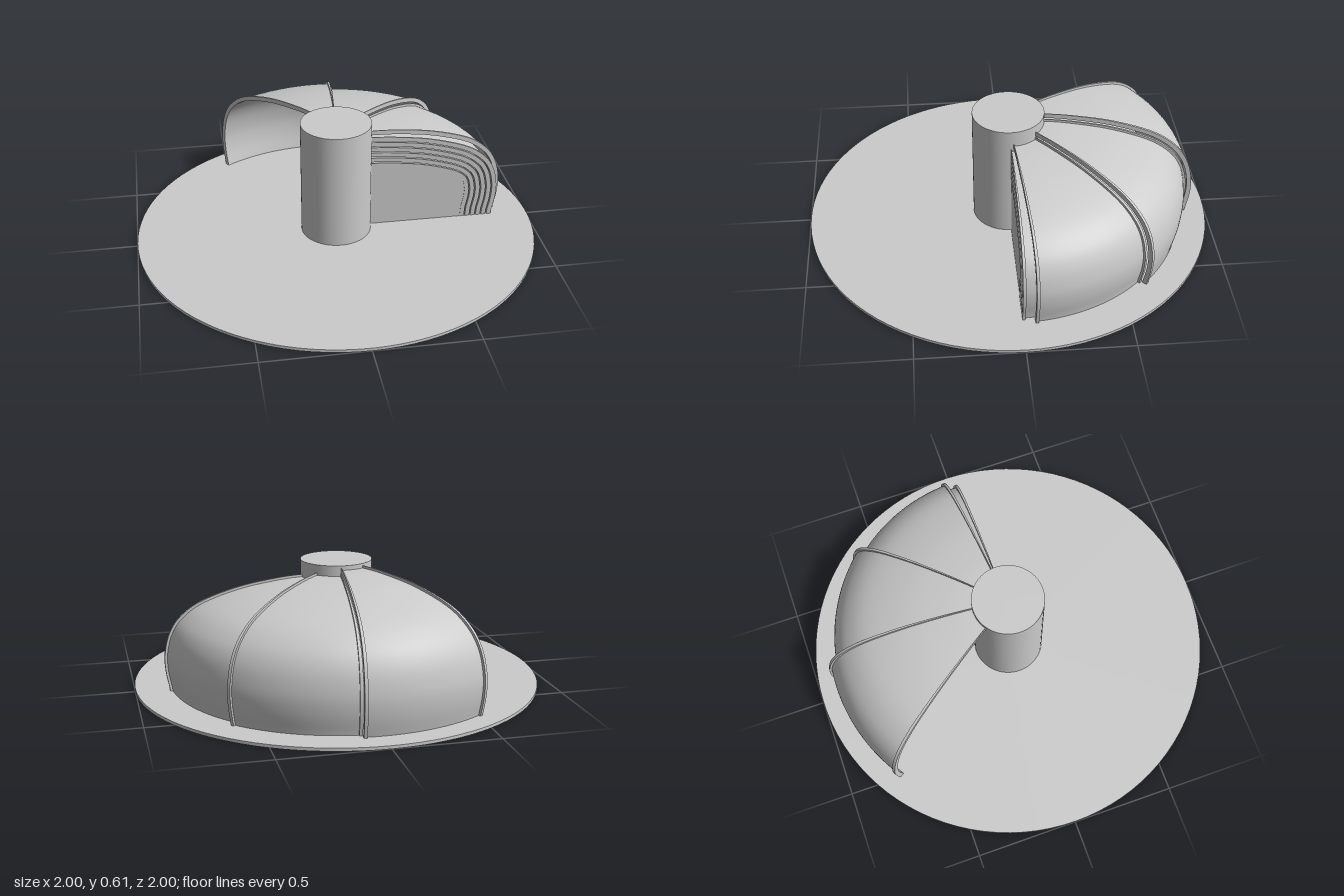
import * as THREE from 'three';
import { toCreasedNormals } from 'three/addons/utils/BufferGeometryUtils.js';

const BASE_TOP = 0.015, STEP = 0.029, THICK = 0.011, LIP = 0.012;
const rad = THREE.MathUtils.degToRad;

// Cross-section of the largest shell: radius, height
const section = new THREE.SplineCurve([
  [0.885, 0.01], [0.904, 0.11], [0.905, 0.21], [0.877, 0.32], [0.815, 0.41], [0.7, 0.488],
  [0.5, 0.55], [0.3, 0.58], [0.175, 0.588], [0.11, 0.588],
].map(([r, y]) => new THREE.Vector2(r, y)));

// The cross-section moved along its normal by d, from the floor up to the hub
function offsetSection(d) {
  const pts = [];
  for (let i = 0; i <= 44; i++) {
    const p = section.getPoint(i / 44), t = section.getTangent(i / 44);
    pts.push(new THREE.Vector2(p.x + t.y * d, p.y - t.x * d));
  }
  pts[0].y = 0.01;
  return pts;
}

export function createModel() {
  const model = new THREE.Group();
  const grey = new THREE.MeshStandardMaterial({ color: 0xcccccc });
  const thin = new THREE.MeshStandardMaterial({ color: 0xcccccc, side: THREE.DoubleSide });

  const add = (parent, name, geometry, material = grey) => {
    const mesh = new THREE.Mesh(geometry, material);
    mesh.name = name;
    parent.add(mesh);
    return mesh;
  };

  // Closed band between two offsets, swept around the hub from angle a to b (degrees, +x towards -z)
  function sweep(parent, name, outer, inner, a, b) {
    const outline = [...offsetSection(outer), ...offsetSection(inner).reverse()];
    const segments = Math.max(1, Math.round((b - a) / 1.25));
    const band = new THREE.LatheGeometry([...outline, outline[0].clone()], segments, rad(a + 90), rad(b - a));
    add(parent, name, toCreasedNormals(band, 0.6));
    for (const angle of [a, b]) {
      const cap = add(parent, name + 'End', new THREE.ShapeGeometry(new THREE.Shape(outline)), thin);
      cap.rotation.y = rad(angle);
    }
  }

  // Round floor and central hub
  const floor = add(model, 'floorDisc', new THREE.CylinderGeometry(1, 1, BASE_TOP, 96));
  floor.position.y = BASE_TOP / 2;
  const hub = add(model, 'hub', new THREE.CylinderGeometry(0.175, 0.175, 0.6, 64));
  hub.position.y = 0.31;

  // Nine telescoping shells: three fanned out, six nested at the start
  const starts = [84, 44, 4, 0, 0, 0, 0, 0, 0];
  starts.forEach((start, k) => {
    const shell = new THREE.Group();
    shell.name = 'shell' + (k + 1);
    model.add(shell);
    const d = -k * STEP, end = start + 40;
    sweep(shell, 'panel', d, d - THICK, start, end);
    sweep(shell, 'startLip', d + LIP, d, start, start + 1);
    sweep(shell, 'endLip', d + LIP, d, end - 1, end);
  });

  // Flat wall closing the smallest shell
  const edge = offsetSection(-8 * STEP - THICK / 2);
  const wall = new THREE.Shape([
    ...edge, new THREE.Vector2(edge[edge.length - 1].x, 0.01),
  ]);
  const wallMesh = add(model, 'endWall', new THREE.ExtrudeGeometry(wall, { depth: 0.01, bevelEnabled: false }));
  wallMesh.position.z = -0.012;

  return model;
}
